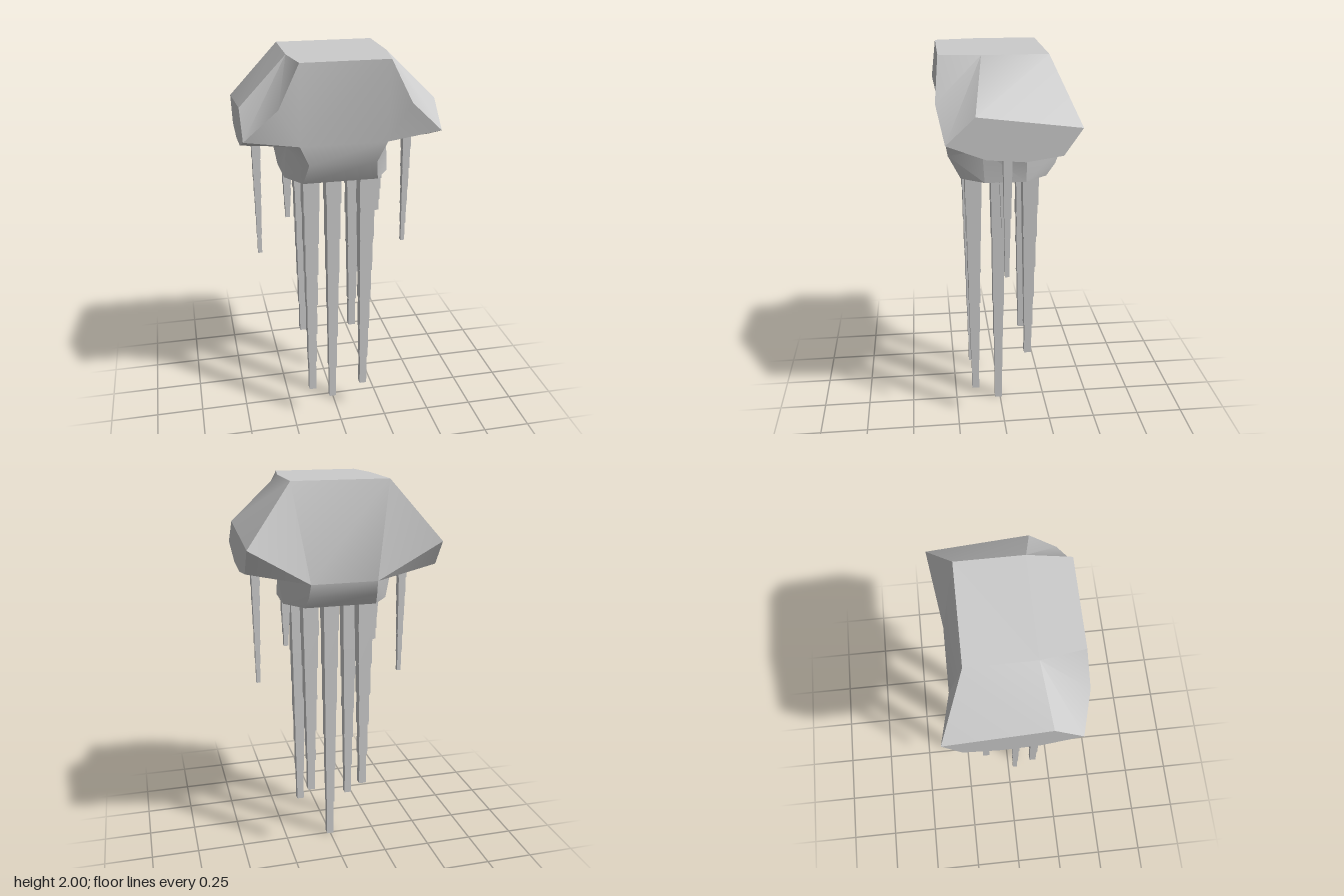
import * as THREE from 'three';
import { toCreasedNormals } from 'three/addons/utils/BufferGeometryUtils.js';

const material = new THREE.MeshStandardMaterial({ color: 0xcccccc });

// Corners of the left half of the body; the right half is mirrored
const P = {
  topBack: [0.24, 2, -0.2], topMid: [0.24, 2, 0.11], topFront: [0.21, 2, 0.305],
  brow: [0.31, 1.8, 0.325], wingFront: [0.47, 1.65, 0.29],
  wingTop: [0.47, 1.775, 0.155], wingBack: [0.47, 1.715, -0.325],
  rimBack: [0.47, 1.59, -0.24], rimMid: [0.47, 1.565, -0.07], rimFront: [0.47, 1.58, 0.11],
  cheek: [0.21, 1.61, 0.285], chin: [0.165, 1.51, 0.27], baseFront: [0.185, 1.4, 0.21],
  neckFront: [0.25, 1.56, 0.11], neckBack: [0.29, 1.535, -0.1],
  rump: [0.165, 1.53, -0.28], rumpLow: [0.17, 1.46, -0.255], baseBack: [0.18, 1.4, -0.21],
  baseSideBack: [0.265, 1.4, -0.1], baseSideFront: [0.26, 1.4, 0.1],
};

// Closed band running round the middle of the body
const band = ['topBack', 'topMid', 'topFront', 'cheek', 'chin', 'baseFront',
  'baseBack', 'rumpLow', 'rump'];

// Polygons of one side
const sideFaces = [
  'topBack topMid wingTop wingBack',
  'topMid topFront brow wingFront wingTop',
  'wingFront wingTop wingBack rimBack rimMid rimFront',
  'cheek topFront brow wingFront',
  'wingFront rimFront neckFront cheek',
  'rimFront rimMid neckBack neckFront',
  'rimMid rimBack rump neckBack',
  'topBack wingBack rump',
  'wingBack rimBack rump',
  'chin cheek neckFront baseSideFront baseFront',
  'neckFront neckBack baseSideBack baseSideFront',
  'baseSideBack neckBack rump rumpLow baseBack',
  'baseFront baseSideFront baseSideBack baseBack',
];

function bodyGeometry() {
  const center = new THREE.Vector3(0, 1.72, 0);
  const positions = [];
  const point = (name, side) => new THREE.Vector3(P[name][0] * side, P[name][1], P[name][2]);

  // Fan a polygon into triangles that face away from the centre
  const addPolygon = (pts) => {
    for (let i = 1; i < pts.length - 1; i++) {
      const tri = new THREE.Triangle(pts[0], pts[i], pts[i + 1]);
      const outward = tri.getNormal(new THREE.Vector3()).dot(pts[0].clone().sub(center)) > 0;
      const order = outward ? [tri.a, tri.b, tri.c] : [tri.a, tri.c, tri.b];
      order.forEach((p) => positions.push(p.x, p.y, p.z));
    }
  };

  band.forEach((name, i) => {
    const next = band[(i + 1) % band.length];
    addPolygon([point(name, 1), point(next, 1), point(next, -1), point(name, -1)]);
  });
  for (const side of [1, -1]) {
    for (const face of sideFaces) addPolygon(face.split(' ').map((n) => point(n, side)));
  }
  const geometry = new THREE.BufferGeometry();
  geometry.setAttribute('position', new THREE.Float32BufferAttribute(positions, 3));
  return toCreasedNormals(geometry, 0.55);
}

// Hanging tentacle of stacked square segments, each narrower than the one above
function tentacle(name, x, z, top, bottom, wide, narrow, segments) {
  const group = new THREE.Group();
  group.name = name;
  const h = (top - bottom) / segments;
  for (let i = 0; i < segments; i++) {
    const w = THREE.MathUtils.lerp(wide, narrow, i / (segments - 1));
    const segment = new THREE.Mesh(new THREE.BoxGeometry(w, h, w), material);
    segment.name = 'tentacleSegment';
    segment.position.set(x, top - h * (i + 0.5), z);
    group.add(segment);
  }
  return group;
}

export function createModel() {
  const model = new THREE.Group();
  model.name = 'floatingCreature';

  const body = new THREE.Mesh(bodyGeometry(), material);
  body.name = 'body';
  model.add(body);

  // Middle tentacle, then mirrored pairs
  model.add(tentacle('centerTentacle', 0, 0.01, 1.42, 0, 0.08, 0.038, 7));
  for (const [label, s] of [['left', 1], ['right', -1]]) {
    model.add(
      tentacle(label + 'FrontTentacle', s * 0.142, 0.15, 1.42, 0.17, 0.08, 0.038, 7),
      tentacle(label + 'BackTentacle', s * 0.142, -0.135, 1.42, 0.38, 0.078, 0.038, 6),
      tentacle(label + 'InnerShortTentacle', s * 0.235, 0.005, 1.45, 1.15, 0.046, 0.024, 5),
      tentacle(label + 'OuterShortTentacle', s * 0.385, 0.005, 1.58, 0.96, 0.042, 0.021, 6),
    );
  }
  return model;
}
